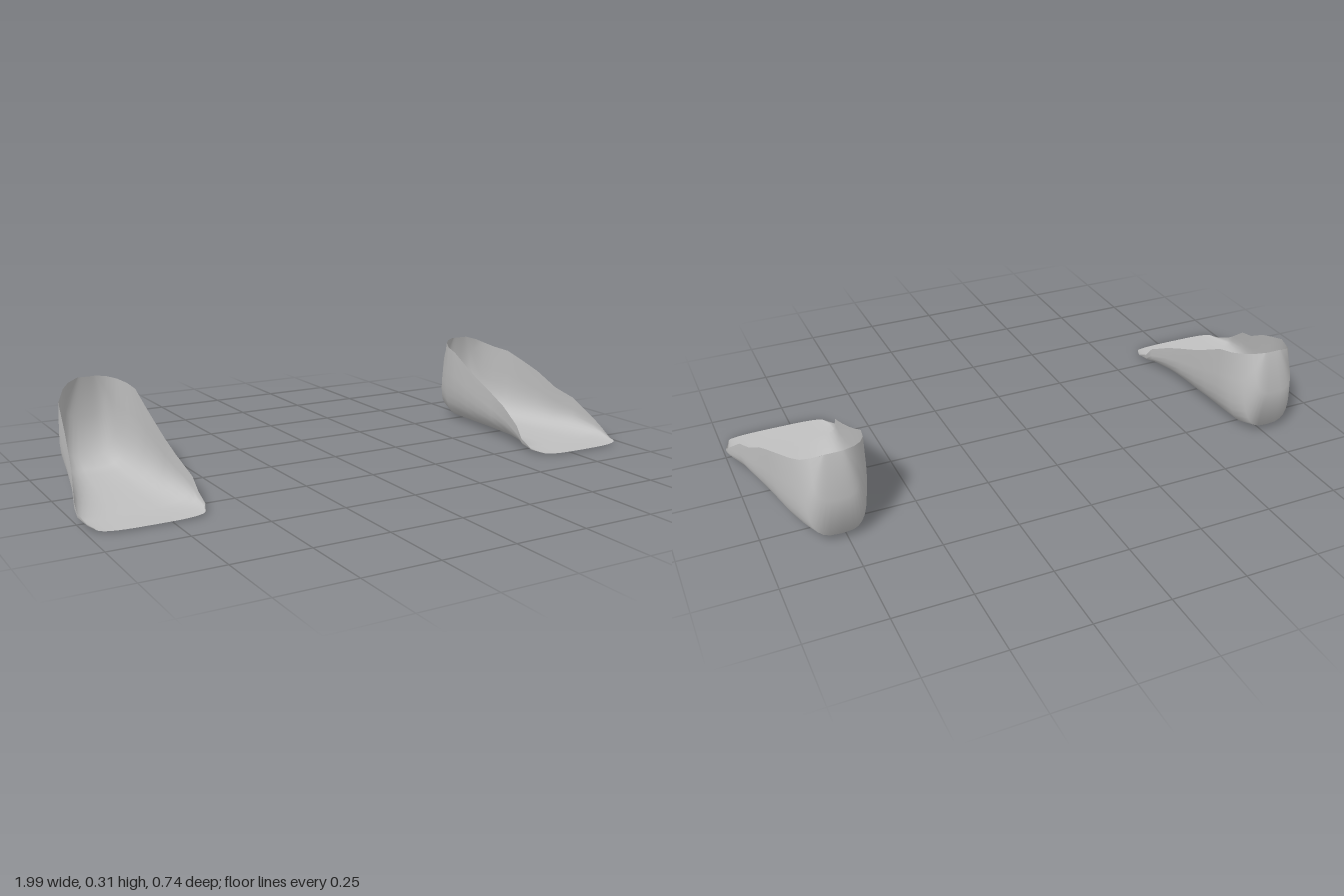
import * as THREE from 'three';

// Cross-sections from toe to heel:
// [rim z, floor z, inner x, outer x, inner rim y, outer rim y, floor y]
const SECTIONS = [
  [0.325, 0.368, 0.635, 0.975, 0.012, 0.012, 0.004],
  [0.30, 0.31, 0.62, 0.985, 0.018, 0.015, 0.002],
  [0.25, 0.25, 0.62, 0.997, 0.04, 0.035, 0],
  [0.215, 0.215, 0.624, 0.993, 0.08, 0.058, 0],
  [0.12, 0.12, 0.638, 0.968, 0.128, 0.124, 0],
  [0.04, 0.04, 0.642, 0.95, 0.162, 0.15, 0],
  [-0.05, -0.05, 0.642, 0.933, 0.2, 0.2, 0],
  [-0.12, -0.12, 0.644, 0.92, 0.234, 0.228, 0],
  [-0.20, -0.20, 0.646, 0.905, 0.275, 0.258, 0],
  [-0.255, -0.275, 0.655, 0.88, 0.286, 0.268, 0],
  [-0.295, -0.345, 0.675, 0.86, 0.295, 0.28, 0.02],
  [-0.32, -0.368, 0.70, 0.835, 0.301, 0.293, 0.16],
  [-0.335, -0.335, 0.735, 0.80, 0.305, 0.303, 0.304],
];
const COLS = 18;
const ROUND = 0.6; // squareness of the U-shaped section

function shellGeometry(side) {
  const pos = [], index = [];
  SECTIONS.forEach(([rimZ, floorZ, xi, xo, yi, yo, floorY], i) => {
    const bulge = Math.min(0.012, 0.08 * Math.max(yi - floorY, 0));
    for (let j = 0; j <= COLS; j++) {
      const a = (Math.PI * j) / COLS;
      const c = -Math.cos(a), s = Math.max(Math.sin(a), 0);
      const across = Math.sign(c) * Math.pow(Math.abs(c), ROUND);
      const depth = s < 1e-6 ? 0 : Math.pow(s, ROUND);
      const t = (across + 1) / 2;
      const x = xi + (xo - xi) * t + bulge * Math.sign(c) * Math.abs(Math.sin(2 * a)) * (c > 0 ? 1 : 0.4);
      const rimY = yi + (yo - yi) * t;
      pos.push(side * x, rimY + (floorY - rimY) * depth, rimZ + (floorZ - rimZ) * depth);
      if (i < SECTIONS.length - 1 && j < COLS) {
        const p = i * (COLS + 1) + j, q = p + COLS + 1;
        if (side > 0) index.push(p, q, p + 1, q, q + 1, p + 1);
        else index.push(p, p + 1, q, q, p + 1, q + 1);
      }
    }
  });
  const g = new THREE.BufferGeometry();
  g.setAttribute('position', new THREE.Float32BufferAttribute(pos, 3));
  g.setIndex(index);
  g.computeVertexNormals();
  return g;
}

export function createModel() {
  const group = new THREE.Group();
  group.name = 'footShells';
  const grey = new THREE.MeshStandardMaterial({ color: 0xc0c0c0, side: THREE.DoubleSide });
  grey.name = 'light grey';
  // Open scoop-shaped shells, mirrored across x
  for (const [name, side] of [['leftShell', 1], ['rightShell', -1]]) {
    const mesh = new THREE.Mesh(shellGeometry(side), grey);
    mesh.name = name;
    group.add(mesh);
  }
  return group;
}
